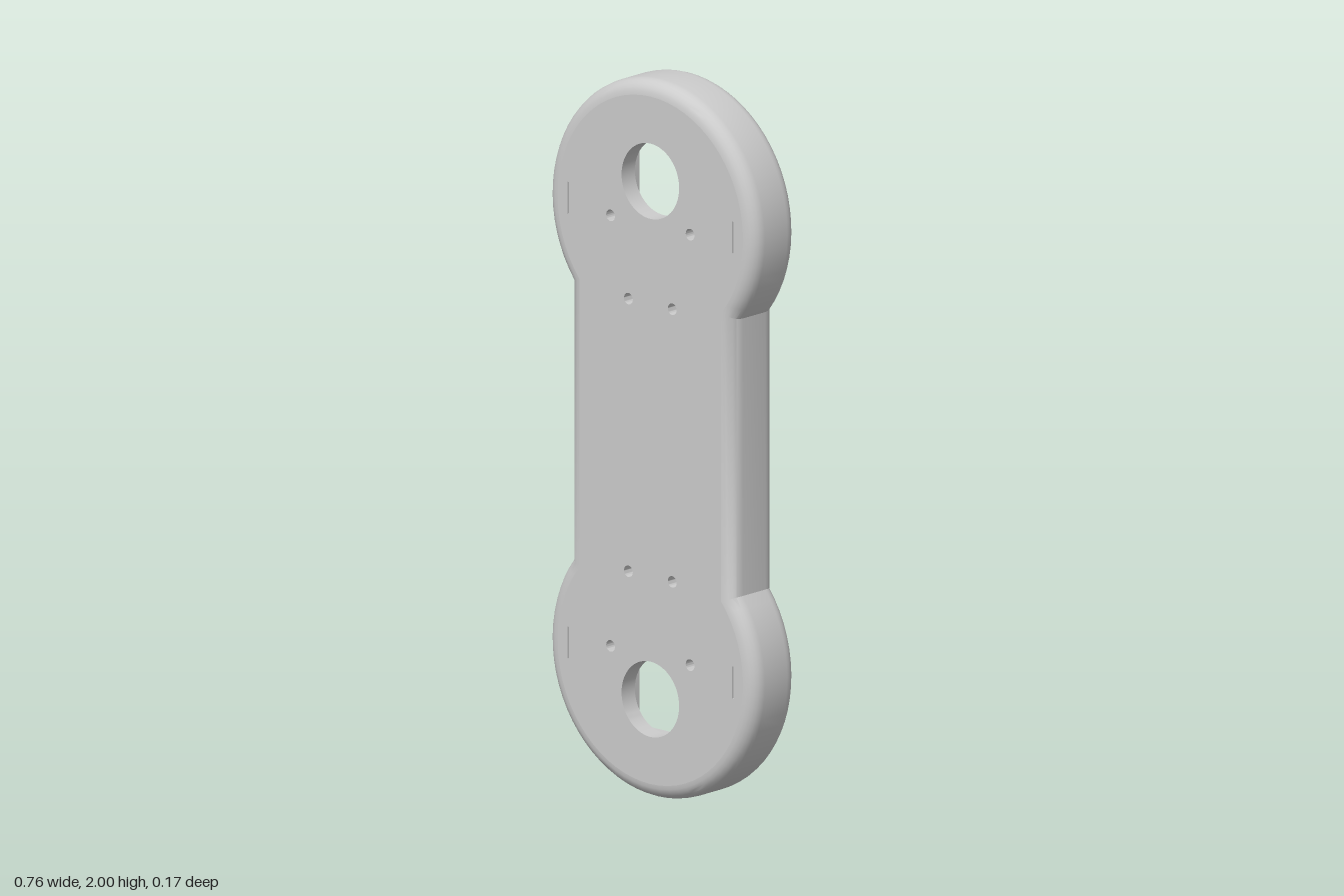
import * as THREE from 'three';
import { toCreasedNormals } from 'three/addons/utils/BufferGeometryUtils.js';

const R = 0.38, W = 0.30, CY = 0.62;   // end radius, bar half width, end centre from the middle
const Z = 0.083, FLOOR = 0, STEP = 0.03; // half thickness, pocket floor, bottom of the rectangular recess
const RIM = 0.028;                      // inset of the pocket rim

const mat = new THREE.MeshStandardMaterial({ color: 0xcccccc, side: THREE.DoubleSide });

// Dumbbell outline, inset by d, anticlockwise
function outline(d, n = 48) {
  const r = R - d, w = W - d;
  const start = -Math.acos(w / r), sweep = Math.PI - 2 * start;
  const top = [];
  for (let i = 0; i <= n; i++) {
    const a = start + sweep * i / n;
    top.push(new THREE.Vector2(r * Math.cos(a), CY + r * Math.sin(a)));
  }
  return [...top, ...top.map(p => new THREE.Vector2(-p.x, -p.y))];
}

function circle(x, y, r) {
  return new THREE.Path().absarc(x, y, r, 0, Math.PI * 2, true);
}

function rect(x, y, w, h) {
  return new THREE.Path([[-1, -1], [-1, 1], [1, 1], [1, -1]]
    .map(([i, j]) => new THREE.Vector2(x + i * w / 2, y + j * h / 2)));
}

// Screw holes of one end; s = 1 for the upper end, -1 for the lower
function screwHoles(s) {
  return [[0.145, 0.60], [0.08, 0.38]].flatMap(([x, y]) =>
    [-x, x].map(v => circle(v, s * y, 0.016)));
}

function plate(shape, z0, z1) {
  const g = new THREE.ExtrudeGeometry(shape, { depth: z1 - z0, bevelEnabled: false, curveSegments: 32 });
  return toCreasedNormals(g.translate(0, 0, z0), 0.5);
}

// Rounded outer wall, lofted from inset outlines
function wallGeometry() {
  const rings = [];
  const f = 0.042, b = 0.036, steps = 6;
  for (let i = 0; i <= steps; i++) {
    const a = Math.PI / 2 * (1 - i / steps);
    rings.push([f * (1 - Math.cos(a)), Z - f + f * Math.sin(a)]);
  }
  for (let i = 0; i <= steps; i++) {
    const t = Math.PI / 2 * i / steps;
    rings.push([RIM * (1 - Math.cos(t)), -Z + b - b * Math.sin(t)]);
  }
  const pos = [], idx = [];
  const n = outline(0).length;
  for (const [d, z] of rings) for (const p of outline(d)) pos.push(p.x, p.y, z);
  for (let i = 0; i < rings.length - 1; i++) {
    for (let j = 0; j < n; j++) {
      const a = i * n + j, c = i * n + (j + 1) % n;
      idx.push(a, a + n, c, c, a + n, c + n);
    }
  }
  const g = new THREE.BufferGeometry();
  g.setAttribute('position', new THREE.Float32BufferAttribute(pos, 3));
  g.setIndex(idx);
  return toCreasedNormals(g, 0.5);
}

export function createModel() {
  const model = new THREE.Group();
  model.name = 'linkPlate';
  const add = (parent, name, geometry) => {
    const m = new THREE.Mesh(geometry, mat);
    m.name = name;
    parent.add(m);
    return m;
  };
  const body = new THREE.Group();
  body.name = 'body';
  body.position.y = 1;
  model.add(body);

  add(body, 'outerWall', wallGeometry());

  // Front plate with bores, screw holes and thin slits
  const front = new THREE.Shape(outline(0.042));
  for (const s of [1, -1]) {
    front.holes.push(circle(0, s * 0.722, 0.105), ...screwHoles(s));
    for (const x of [-0.30, 0.30]) front.holes.push(rect(x, s * 0.62, 0.005, 0.09));
  }
  add(body, 'frontPlate', plate(front, STEP, Z));

  // Back face of the bar, between the two round pockets
  const r = R - RIM, w = W - RIM, a0 = Math.acos(w / r);
  const arc = [];
  for (let i = 0; i <= 32; i++) {
    const a = -a0 - (Math.PI - 2 * a0) * i / 32;
    arc.push(new THREE.Vector2(r * Math.cos(a), CY + r * Math.sin(a)));
  }
  const back = new THREE.Shape([...arc, ...arc.map(p => new THREE.Vector2(-p.x, -p.y))]);
  const backGeo = new THREE.ShapeGeometry(back).rotateY(Math.PI).translate(0, 0, -Z);
  add(body, 'barBack', backGeo);

  // Round pocket at each end: flared wall, floor with rectangular recess
  const profile = [[0.333, FLOOR], [0.334, -0.03], [0.337, -0.055], [0.343, -0.073], [r, -Z]]
    .map(([x, z]) => new THREE.Vector2(x, z));
  for (const s of [1, -1]) {
    const end = new THREE.Group();
    end.name = s > 0 ? 'upperPocket' : 'lowerPocket';
    end.rotation.z = s > 0 ? 0 : Math.PI;
    body.add(end);

    const wall = new THREE.LatheGeometry(profile, 64).rotateX(Math.PI / 2).translate(0, CY, 0);
    add(end, 'pocketWall', wall);

    const floor = new THREE.Shape().absarc(0, CY, 0.335, 0, Math.PI * 2, false);
    floor.holes.push(rect(0, 0.618, 0.23, 0.424), ...screwHoles(1));
    for (const x of [-0.308, 0.308]) floor.holes.push(rect(x, CY, 0.005, 0.045));
    add(end, 'pocketFloor', plate(floor, FLOOR, STEP));
  }
  return model;
}
